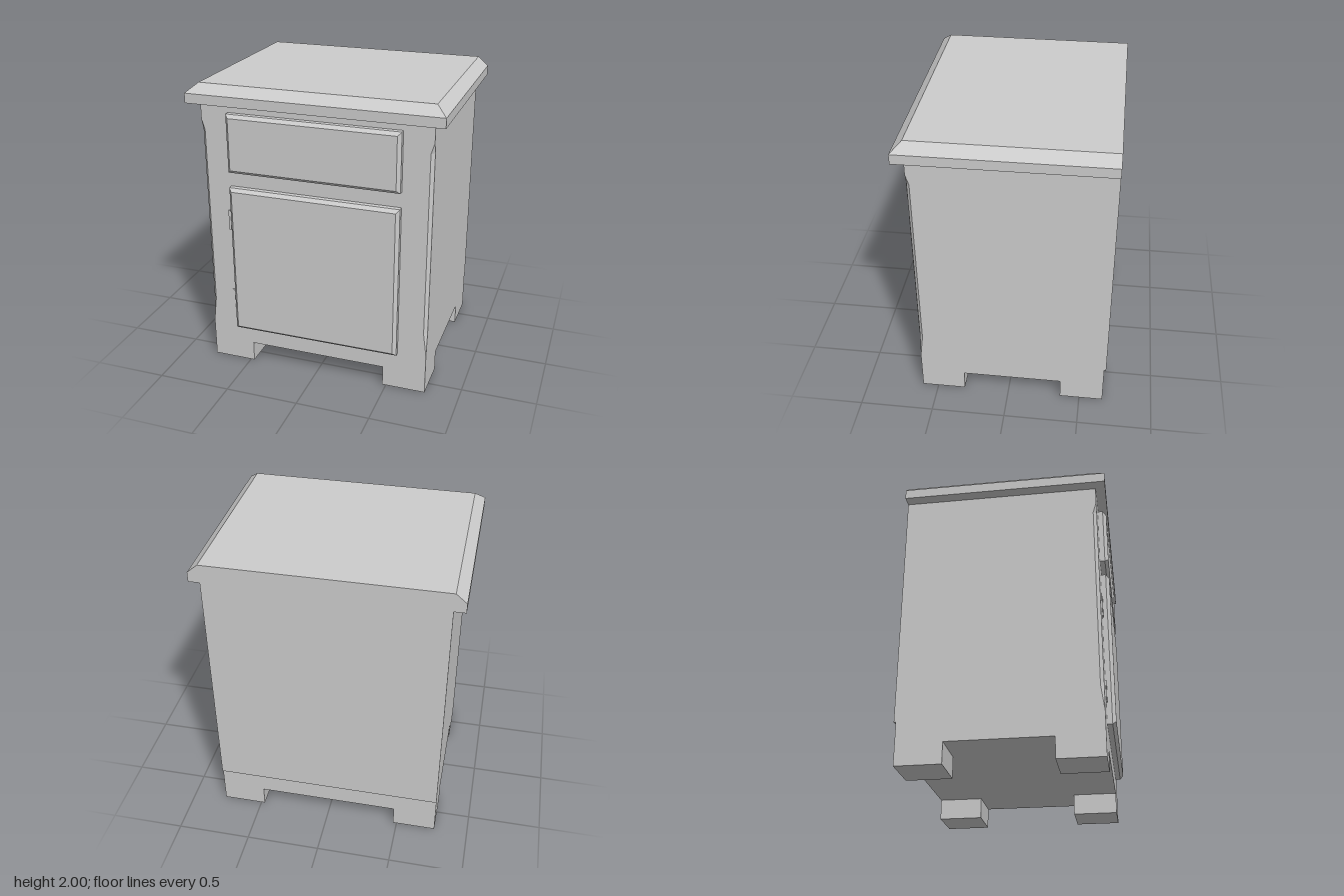
import * as THREE from 'three';

const material = new THREE.MeshStandardMaterial({ color: 0xcccccc, flatShading: true });

// Skin convex outlines stacked along y; each ring is { y, points: [[x, z], ...] }
function loft(rings) {
  const pos = [];
  const p = (r, i) => {
    const q = r.points[i % r.points.length];
    return [q[0], r.y, q[1]];
  };
  const tri = (...corners) => corners.forEach((c) => pos.push(...c));
  const n = rings[0].points.length;
  for (let k = 0; k + 1 < rings.length; k++) {
    const a = rings[k], b = rings[k + 1];
    for (let i = 0; i < n; i++) {
      tri(p(a, i), p(a, i + 1), p(b, i + 1));
      tri(p(a, i), p(b, i + 1), p(b, i));
    }
  }
  const bottom = rings[0], top = rings[rings.length - 1];
  for (let i = 1; i + 1 < n; i++) {
    tri(p(bottom, 0), p(bottom, i + 1), p(bottom, i));
    tri(p(top, 0), p(top, i), p(top, i + 1));
  }
  const geo = new THREE.BufferGeometry();
  geo.setAttribute('position', new THREE.Float32BufferAttribute(pos, 3));
  geo.computeVertexNormals();
  return geo;
}

const rect = (y, hx, zFront, zBack) => ({
  y, points: [[-hx, zFront], [hx, zFront], [hx, zBack], [-hx, zBack]],
});

// Cabinet outline with its two front corners cut by c
const W = 0.77, FRONT = 0.61, BACK = -0.675, BASE_BACK = -0.662;
const cabinetRing = (y, c) => ({
  y,
  points: [[-W + c, FRONT], [W - c, FRONT], [W, FRONT - c], [W, BACK], [-W, BACK], [-W, FRONT - c]],
});

export function createModel() {
  const group = new THREE.Group();
  const add = (name, geo, x = 0, y = 0, z = 0) => {
    const mesh = new THREE.Mesh(geo, material);
    mesh.name = name;
    mesh.position.set(x, y, z);
    group.add(mesh);
    return mesh;
  };
  const box = (name, x0, x1, y0, y1, z0, z1) =>
    add(name, new THREE.BoxGeometry(x1 - x0, y1 - y0, z1 - z0), (x0 + x1) / 2, (y0 + y1) / 2, (z0 + z1) / 2);

  // Cabinet with stopped chamfers on the front corners
  add('cabinet', loft([
    cabinetRing(0.28, 0), cabinetRing(0.45, 0.022), cabinetRing(1.69, 0.022),
    cabinetRing(1.76, 0), cabinetRing(1.875, 0),
  ]));

  // Base, slightly set in at the back, on four square feet
  box('base', -W, W, 0.14, 0.28, BASE_BACK, FRONT);
  for (const side of [-1, 1]) {
    const x0 = side < 0 ? -W : 0.475, x1 = side < 0 ? -0.475 : W;
    box('frontFoot', x0, x1, 0, 0.14, 0.31, FRONT);
    box('backFoot', x0, x1, 0, 0.14, BASE_BACK, -0.365);
  }

  // Overhanging top, bevelled on the front and sides, flush at the back
  add('top', loft([
    rect(1.875, 0.845, 0.675, BACK), rect(1.94, 0.845, 0.675, BACK), rect(2, 0.775, 0.607, BACK),
  ]));

  // Bevelled drawer and door fronts
  const panel = (name, y0, y1) => {
    const hx = 0.578, hy = (y1 - y0) / 2, b = 0.022;
    const geo = loft([rect(0, hx, hy, -hy), rect(0.034, hx, hy, -hy), rect(0.057, hx - b, hy - b, -hy + b)]);
    geo.rotateX(Math.PI / 2);
    add(name, geo, -0.002, (y0 + y1) / 2, FRONT);
  };
  panel('drawerFront', 1.425, 1.82);
  panel('door', 0.27, 1.32);

  // Door hinges
  for (const y of [0.41, 1.003]) box('hinge', -0.61, -0.57, y, y + 0.14, 0.6, 0.618);

  return group;
}
